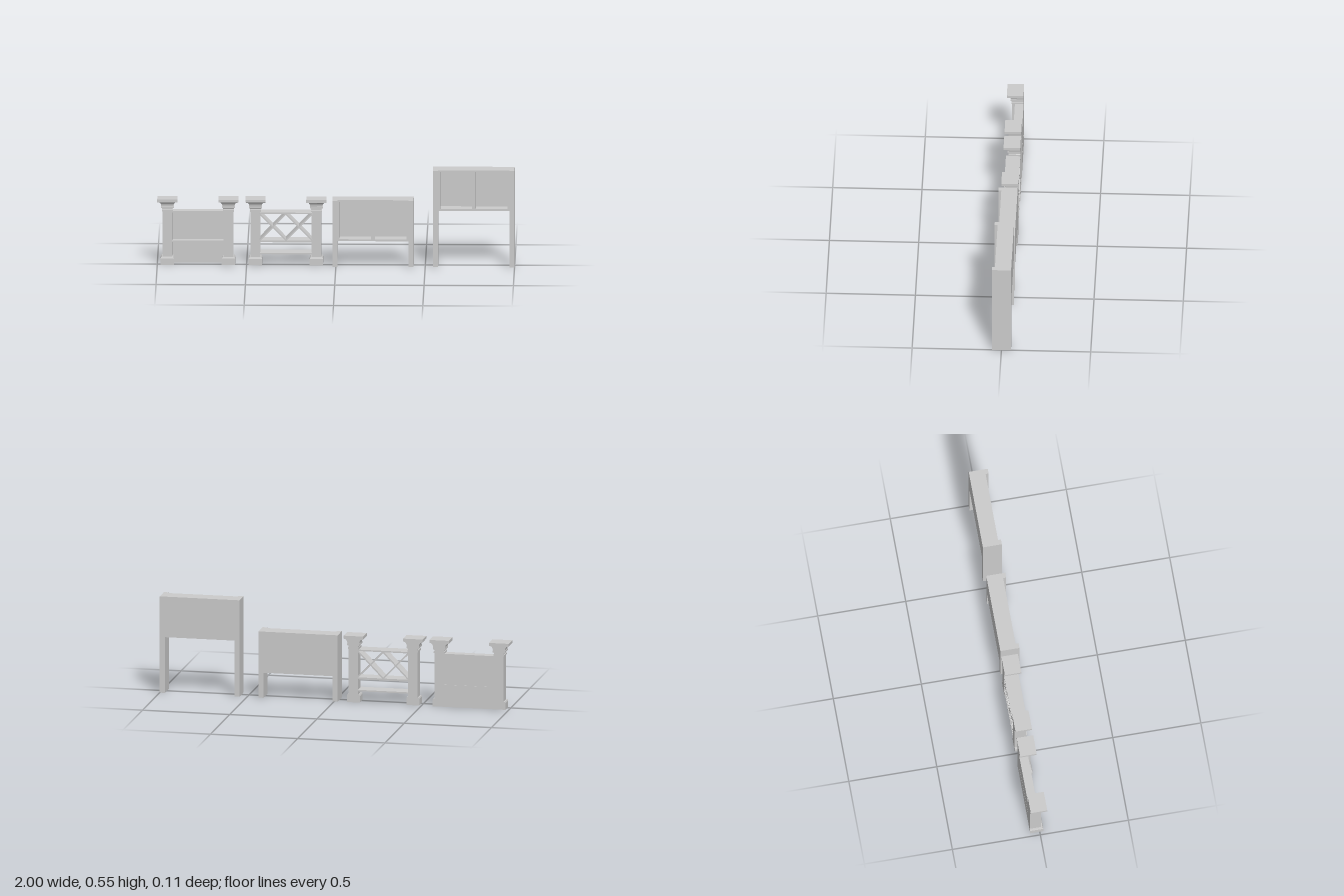
import * as THREE from 'three';

const BACK = -0.054;
const SHAFT_HALF = 0.027;
const SHAFT_FRONT = 0.01;

export function createModel() {
  const root = new THREE.Group();
  root.name = 'railingAndFrameSet';
  const mat = new THREE.MeshStandardMaterial({ color: 0xcccccc, flatShading: true });

  const group = (name) => {
    const g = new THREE.Group();
    g.name = name;
    root.add(g);
    return g;
  };

  // Box given by its limits on each axis
  const box = (parent, name, x0, x1, y0, y1, z0, z1) => {
    const m = new THREE.Mesh(new THREE.BoxGeometry(x1 - x0, y1 - y0, z1 - z0), mat);
    m.position.set((x0 + x1) / 2, (y0 + y1) / 2, (z0 + z1) / 2);
    m.name = name;
    parent.add(m);
    return m;
  };

  // Post with mouldings on front and sides and a flat back; profile is [half width, y]
  const postGeometry = (profile) => {
    const pos = [], idx = [];
    for (const [h, y] of profile) {
      const front = SHAFT_FRONT + h - SHAFT_HALF;
      pos.push(-h, y, front, h, y, front, h, y, BACK, -h, y, BACK);
    }
    for (let i = 0; i < profile.length - 1; i++) {
      for (let k = 0; k < 4; k++) {
        const a = i * 4 + k, b = i * 4 + (k + 1) % 4;
        idx.push(a, b, b + 4, a, b + 4, a + 4);
      }
    }
    const t = (profile.length - 1) * 4;
    idx.push(0, 2, 1, 0, 3, 2, t, t + 1, t + 2, t, t + 2, t + 3);
    let geo = new THREE.BufferGeometry();
    geo.setAttribute('position', new THREE.Float32BufferAttribute(pos, 3));
    geo.setIndex(idx);
    geo = geo.toNonIndexed();
    geo.computeVertexNormals();
    return geo;
  };

  // Shared profile; the cove under the top slab has a chosen number of steps
  const postProfile = (coveSteps) => {
    const p = [
      [0.0375, 0], [0.0375, 0.037], [0.034, 0.045], [SHAFT_HALF, 0.045],
      [SHAFT_HALF, 0.305], [0.031, 0.305], [0.031, 0.315], [0.028, 0.317],
      [0.028, 0.324], [0.036, 0.328], [0.036, 0.337],
    ];
    for (let i = 0; i <= coveSteps; i++) {
      const a = (i / coveSteps) * Math.PI / 2;
      p.push([0.034 + 0.017 * (1 - Math.cos(a)), 0.337 + 0.025 * Math.sin(a)]);
    }
    p.push([0.0565, 0.364], [0.0565, 0.38]);
    return p;
  };

  const addPosts = (parent, xs, coveSteps) => {
    const geo = postGeometry(postProfile(coveSteps));
    for (const x of xs) {
      const m = new THREE.Mesh(geo, mat);
      m.name = 'post';
      m.position.x = x;
      parent.add(m);
    }
  };

  // Solid panel railing
  const solid = group('panelRailing');
  addPosts(solid, [-0.9435, -0.6015], 6);
  box(solid, 'upperPanel', -0.92, -0.625, 0.135, 0.295, BACK, -0.04);
  box(solid, 'lowerPanel', -0.92, -0.625, 0, 0.127, BACK, -0.04);
  box(solid, 'topRail', -0.92, -0.625, 0.295, 0.305, BACK, -0.005);
  box(solid, 'middleRail', -0.92, -0.625, 0.127, 0.135, BACK + 0.002, -0.005);

  // Lattice railing
  const lattice = group('latticeRailing');
  const lx0 = -0.426, lx1 = -0.134, railFront = 0.027;
  addPosts(lattice, [-0.4505, -0.1095], 3);
  box(lattice, 'topRail', lx0, lx1, 0.296, 0.304, BACK, railFront);
  box(lattice, 'middleRail', lx0, lx1, 0.134, 0.145, BACK, railFront);
  box(lattice, 'bottomRail', lx0, lx1, 0.065, 0.073, BACK, railFront);

  // Two crossed pairs of slats between the upper rails
  const cellW = (lx1 - lx0) / 2, cellH = 0.151;
  const slat = new THREE.BoxGeometry(Math.hypot(cellW, cellH), 0.008, railFront - BACK - 0.002);
  for (let c = 0; c < 2; c++) {
    for (const s of [-1, 1]) {
      const m = new THREE.Mesh(slat, mat);
      m.name = 'latticeSlat';
      m.position.set(lx0 + cellW * (c + 0.5), 0.2205, (BACK + railFront) / 2);
      m.rotation.z = s * Math.atan2(cellH, cellW);
      lattice.add(m);
    }
  }

  // Two-bay frame on legs: recessed bays, solid back
  const frame = (name, x0, x1, y0, top) => {
    const g = group(name);
    const leg = 0.029, front = 0.037, recess = -0.03;
    for (const x of [x0, x1 - leg]) box(g, 'leg', x, x + leg, 0, top, BACK, 0.054);
    const a = x0 + leg, b = x1 - leg, mid = (x0 + x1) / 2;
    box(g, 'backPanel', a, b, y0, top, BACK, recess);

    const face = new THREE.Shape();
    face.moveTo(a, y0).lineTo(b, y0).lineTo(b, top).lineTo(a, top).closePath();
    for (const [u, v] of [[a + 0.012, mid - 0.011], [mid + 0.011, b - 0.012]]) {
      const hole = new THREE.Path();
      hole.moveTo(u, y0 + 0.011).lineTo(u, top - 0.01).lineTo(v, top - 0.01)
        .lineTo(v, y0 + 0.011).closePath();
      face.holes.push(hole);
    }
    const m = new THREE.Mesh(
      new THREE.ExtrudeGeometry(face, { depth: front - recess, bevelEnabled: false }), mat);
    m.name = 'bayFrame';
    m.position.z = recess;
    g.add(m);
  };
  frame('lowFrame', -0.02, 0.435, 0.144, 0.38);
  frame('tallFrame', 0.543, 1.0, 0.32, 0.553);

  return root;
}
